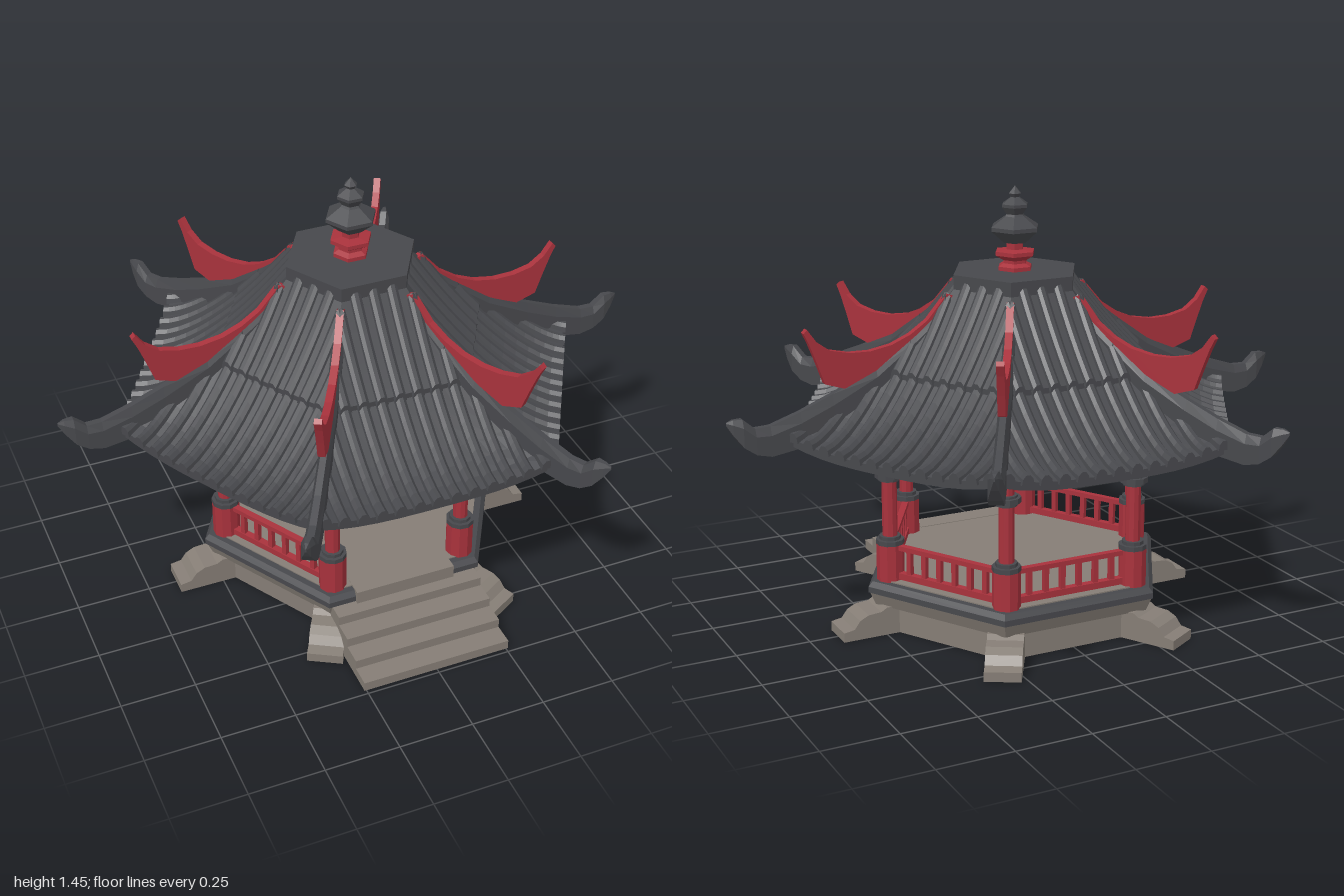
import * as THREE from 'three';

const mat = (name, color) => Object.assign(new THREE.MeshStandardMaterial({ color }), { name });
const dark = mat('darkTile', 0x47484c);
const red = mat('redLacquer', 0xa8323c);
const stone = mat('stone', 0x857d75);

const TAN30 = Math.tan(Math.PI / 6);
const V = (x, y, z) => new THREE.Vector3(x, y, z);

// Facets a geometry
function flat(geo) {
  const g = geo.index ? geo.toNonIndexed() : geo;
  g.computeVertexNormals();
  return g;
}

function add(parent, name, geo, material, x = 0, y = 0, z = 0) {
  const mesh = new THREE.Mesh(flat(geo), material);
  mesh.name = name;
  mesh.position.set(x, y, z);
  parent.add(mesh);
  return mesh;
}

// Joins closed rings of points into a solid
function loft(rings, caps = true) {
  const pos = [];
  const tri = (...pts) => pts.forEach((p) => pos.push(p.x, p.y, p.z));
  const n = rings[0].length;
  for (let i = 0; i < rings.length - 1; i++) {
    for (let j = 0; j < n; j++) {
      const k = (j + 1) % n;
      const [a, b, c, d] = [rings[i][j], rings[i][k], rings[i + 1][k], rings[i + 1][j]];
      tri(a, b, c);
      tri(a, c, d);
    }
  }
  if (caps) {
    const first = rings[0], last = rings[rings.length - 1];
    for (let j = 1; j < n - 1; j++) {
      tri(first[0], first[j + 1], first[j]);
      tri(last[0], last[j], last[j + 1]);
    }
  }
  const g = new THREE.BufferGeometry();
  g.setAttribute('position', new THREE.Float32BufferAttribute(pos, 3));
  return g;
}

// Turned six-sided form with corners on the x axis
const hexLathe = (pts) => new THREE.LatheGeometry(
  pts.map(([r, y]) => new THREE.Vector2(r, y)), 6, Math.PI / 6);

// Upright plate in the radial plane, centred on its thickness
function plate(pts, width) {
  const shape = new THREE.Shape(pts.map(([x, y]) => new THREE.Vector2(x, y)));
  return new THREE.ExtrudeGeometry(shape, { depth: width, bevelEnabled: false })
    .translate(0, 0, -width / 2);
}

// Roof height at distance a from the axis, x along the eave
function roofY(a, x) {
  const t = Math.min(1, Math.max(0, (a - 0.19) / 0.51));
  const s = Math.min(1, Math.abs(x) / (a * TAN30));
  return 0.67 + 0.44 * Math.pow(1 - t, 1.6) + 0.04 * s ** 3 * t * t;
}

// One face of a curved roof layer
function roofSheet(a0, a1, lift, thick) {
  const rings = [], n = 10;
  for (let i = 0; i <= 12; i++) {
    const s = i / 6 - 1, top = [], under = [];
    for (let j = 0; j <= n; j++) {
      const a = a0 + (a1 - a0) * j / n, x = s * a * TAN30, y = roofY(a, x) + lift;
      top.push(V(x, y, a));
      under.unshift(V(x, y - thick, a));
    }
    rings.push([...top, ...under]);
  }
  return loft(rings, false);
}

// Half-round tile row running down the slope
function tileRoll(x, a0, a1, lift) {
  const start = Math.max(a0, Math.abs(x) / TAN30);
  if (start > a1 - 0.02) return null;
  const rings = [];
  for (let j = 0; j <= 8; j++) {
    const a = start + (a1 - start) * j / 8, y = roofY(a, x) + lift, ring = [];
    for (let k = 0; k <= 5; k++) {
      const t = Math.PI * k / 5;
      ring.push(V(x + 0.021 * Math.cos(t), y - 0.006 + 0.032 * Math.sin(t), a));
    }
    rings.push(ring);
  }
  return loft(rings);
}

// Hip ridge with upturned tail: radius, top, bottom, half width
const ridgeSections = [
  [0.2, 1.12, 1.05, 0.02], [0.28, 1.06, 0.98, 0.02], [0.36, 0.995, 0.92, 0.02],
  [0.5, 0.895, 0.81, 0.02], [0.65, 0.83, 0.715, 0.02], [0.76, 0.785, 0.67, 0.021],
  [0.86, 0.752, 0.655, 0.022], [0.91, 0.75, 0.667, 0.023], [0.95, 0.785, 0.695, 0.022],
  [0.98, 0.785, 0.735, 0.012], [1.0, 0.778, 0.768, 0.002],
];
const ridge = () => loft(ridgeSections.map(([r, top, bot, w]) => {
  const mid = top - (top - bot) * 0.3;
  return [V(r, bot, -w), V(r, mid, -w), V(r, top, -w * 0.5),
    V(r, top, w * 0.5), V(r, mid, w), V(r, bot, w)];
}));

const finOutline = [
  [0.21, 1.1], [0.21, 1.04], [0.4, 0.9], [0.5, 0.85], [0.6, 0.84], [0.675, 0.865],
  [0.7, 0.935], [0.725, 1.0], [0.742, 1.035], [0.73, 1.047], [0.7, 1.005], [0.655, 0.972],
  [0.59, 0.957], [0.52, 0.955], [0.445, 0.968], [0.38, 0.995], [0.32, 1.035], [0.25, 1.115],
];

const footOutline = [
  [0.42, 0], [0.652, 0], [0.652, 0.032], [0.615, 0.038], [0.595, 0.065],
  [0.565, 0.08], [0.52, 0.083], [0.5, 0.095], [0.42, 0.095],
];

function addBase(model) {
  const base = new THREE.Group();
  base.name = 'base';
  add(base, 'plinth', hexLathe([[0, 0], [0.49, 0], [0.49, 0.1], [0, 0.1]]), stone);
  add(base, 'slab', hexLathe([[0, 0.09], [0.515, 0.09], [0.535, 0.135], [0, 0.135]]), stone);
  add(base, 'rim', hexLathe([[0, 0.135], [0.54, 0.135], [0.54, 0.155], [0.525, 0.172], [0, 0.172]]), dark);
  add(base, 'floor', hexLathe([[0.5, 0.165], [0.5, 0.176], [0, 0.176]]), stone);
  add(base, 'threshold', new THREE.BoxGeometry(0.35, 0.046, 0.08), stone, 0, 0.155, 0.438);
  // Front steps
  for (let i = 0; i < 4; i++) {
    const h = 0.033 * (i + 1), front = 0.735 - 0.072 * i;
    add(base, 'step', new THREE.BoxGeometry(0.514, h, front - 0.4), stone, 0, h / 2, (front + 0.4) / 2);
  }
  model.add(base);
}

function addCorner(parent) {
  add(parent, 'foot', plate(footOutline, 0.118), stone);
  const post = (name, r, y0, y1, m) =>
    add(parent, name, new THREE.CylinderGeometry(r, r, y1 - y0, 10), m, 0.46, (y0 + y1) / 2);
  post('columnBase', 0.046, 0.17, 0.3, red);
  post('columnBaseRing', 0.047, 0.297, 0.313, dark);
  post('columnBaseCollar', 0.036, 0.313, 0.325, dark);
  post('column', 0.025, 0.31, 0.74, red);
  post('columnRing', 0.047, 0.525, 0.543, dark);
  post('columnRingCollar', 0.036, 0.515, 0.55, dark);
  add(parent, 'hipRidge', ridge(), dark);
  add(parent, 'ridgeFin', plate(finOutline, 0.024), red);
}

function addSide(parent, open) {
  const bar = (name, w, h, d, x, y, z) => add(parent, name, new THREE.BoxGeometry(w, h, d), red, x, y, z);
  bar('lintel', 0.44, 0.2, 0.026, 0, 0.65, 0.372);
  bar('upperBeam', 0.49, 0.05, 0.035, 0, 0.675, 0.41);
  // Railing, left out at the entrance
  if (!open) {
    bar('topRail', 0.4, 0.016, 0.022, 0, 0.288, 0.398);
    bar('bottomRail', 0.4, 0.022, 0.024, 0, 0.191, 0.398);
    for (const x of [-0.15, -0.09, -0.03, 0.03, 0.09, 0.15]) {
      bar('baluster', 0.017, 0.09, 0.017, x, 0.24, 0.398);
    }
  }
  // Tiled roof face in two overlapping layers
  add(parent, 'roofLower', roofSheet(0.19, 0.695, 0, 0.026), dark);
  add(parent, 'roofUpper', roofSheet(0.19, 0.4, 0.018, 0.02), dark);
  for (let i = -6; i <= 6; i++) {
    for (const [a0, a1, lift] of [[0.19, 0.41, 0.018], [0.38, 0.705, 0]]) {
      const roll = tileRoll(i * 0.062, a0, a1, lift);
      if (roll) add(parent, 'tileRow', roll, dark);
    }
  }
}

export function createModel() {
  const model = new THREE.Group();
  model.name = 'pavilion';
  addBase(model);
  for (let k = 0; k < 6; k++) {
    const corner = new THREE.Group(), side = new THREE.Group();
    corner.name = 'corner';
    side.name = 'side';
    corner.rotation.y = side.rotation.y = k * Math.PI / 3;
    addCorner(corner);
    addSide(side, k === 0);
    model.add(corner, side);
  }
  // Roof cap and finial
  add(model, 'roofCap', hexLathe([[0, 1.1], [0.205, 1.1], [0.222, 1.125], [0.222, 1.172], [0, 1.172]]), dark);
  add(model, 'finialBase', hexLathe([[0.06, 1.17], [0.06, 1.185], [0.042, 1.195], [0.042, 1.205],
    [0.07, 1.222], [0.07, 1.235], [0.03, 1.24], [0.03, 1.27], [0, 1.27]]), red);
  add(model, 'finial', hexLathe([[0, 1.26], [0.04, 1.262], [0.085, 1.302], [0.085, 1.315], [0.035, 1.348],
    [0.03, 1.355], [0.046, 1.378], [0.046, 1.388], [0.014, 1.41], [0.022, 1.422], [0, 1.447]]), dark);
  return model;
}
